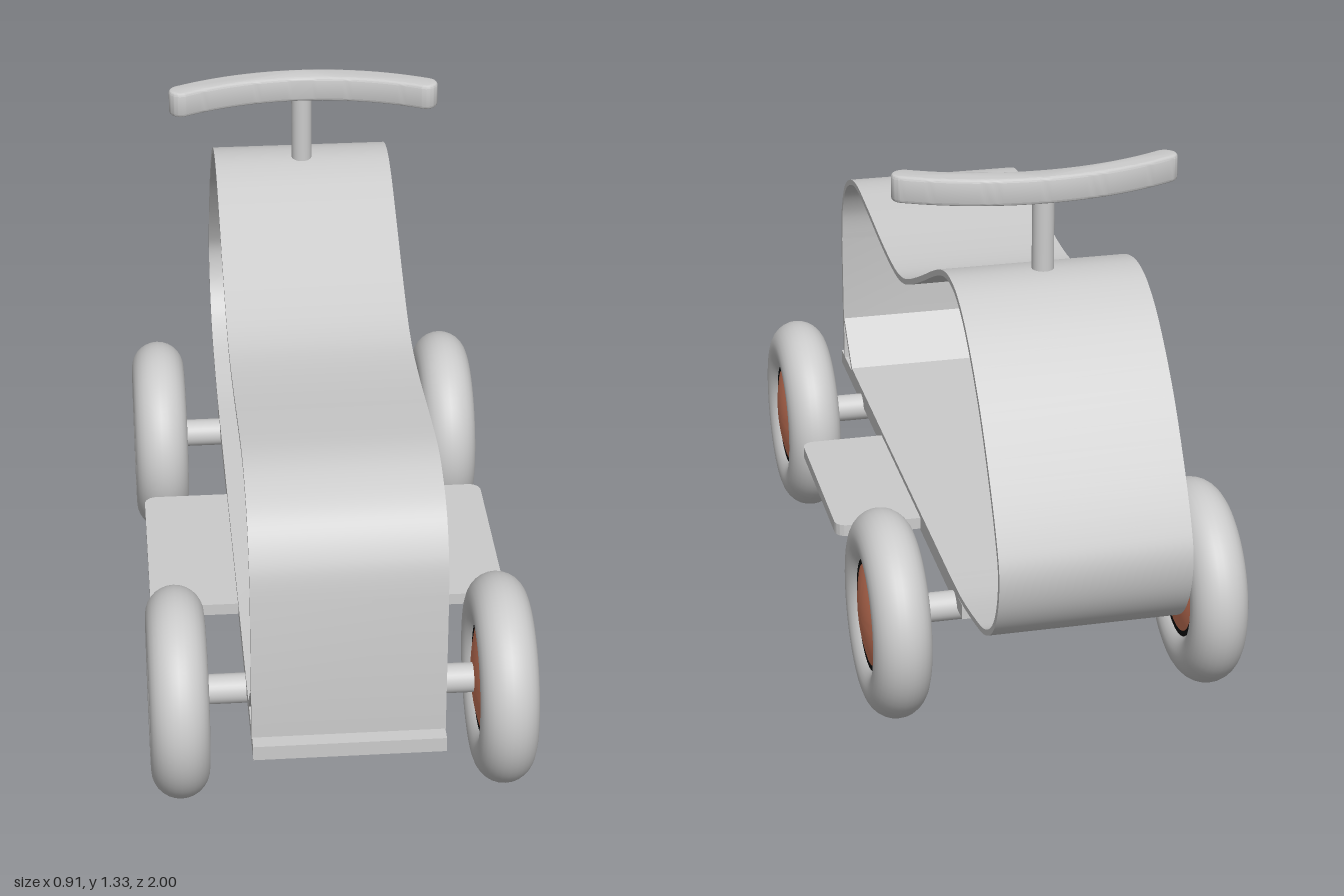
import * as THREE from 'three';
import { toCreasedNormals } from 'three/addons/utils/BufferGeometryUtils.js';

const material = (color) => new THREE.MeshStandardMaterial({ color });
const grey = material(0xcccccc);
const black = material(0x0c0c0c);
const orange = material(0xd07a5c);

function part(parent, name, geometry, mat = grey) {
  const mesh = new THREE.Mesh(geometry, mat);
  mesh.name = name;
  parent.add(mesh);
  return mesh;
}

// Thin bent-wood strip: side profile (z, y) thickened inwards, extruded along x
function bentStrip(width, thickness) {
  const curve = new THREE.SplineCurve([
    [0.963, 0.66], [0.945, 0.755], [0.89, 0.84], [0.8, 0.89], [0.7, 0.908],
    [0.55, 0.897], [0.35, 0.875], [0.2, 0.867], [0.1, 0.876], [0, 0.907],
    [-0.15, 0.973], [-0.3, 1.044], [-0.4, 1.084], [-0.49, 1.098], [-0.58, 1.08],
    [-0.68, 1.02], [-0.8, 0.905], [-0.9, 0.77], [-0.97, 0.65], [-0.996, 0.57],
    [-0.98, 0.48], [-0.93, 0.405], [-0.85, 0.355], [-0.75, 0.33], [-0.6, 0.308],
    [-0.45, 0.303],
  ].map(([z, y]) => new THREE.Vector2(z, y)));
  // straight front wall, curved body, flat floor, then a ramp back up to the wall
  const outer = [
    new THREE.Vector2(0.963, 0.3),
    ...curve.getPoints(160),
    new THREE.Vector2(0.84, 0.303),
    new THREE.Vector2(0.952, 0.415),
  ];
  const inner = outer.map((p, i) => {
    const a = outer[Math.max(i - 1, 0)];
    const b = outer[Math.min(i + 1, outer.length - 1)];
    const t = b.clone().sub(a).normalize();
    // sharp corner at the foot of the ramp: offset along the bisector
    if (i === outer.length - 2) t.set(Math.cos(Math.PI / 8), Math.sin(Math.PI / 8));
    if (i === outer.length - 3) t.set(1, 0);
    return new THREE.Vector2(p.x - t.y * thickness, p.y + t.x * thickness);
  });
  const shape = new THREE.Shape([...outer, ...inner.reverse()]);
  const geo = new THREE.ExtrudeGeometry(shape, { depth: width, bevelEnabled: false });
  geo.translate(0, 0, -width / 2).rotateY(-Math.PI / 2);
  return toCreasedNormals(geo, Math.PI / 6);
}

// Flat board with rounded corners, lying horizontally
function roundedBoard(w, d, h, r) {
  const x = w / 2, y = d / 2;
  const s = new THREE.Shape();
  s.absarc(x - r, y - r, r, 0, Math.PI / 2);
  s.absarc(-x + r, y - r, r, Math.PI / 2, Math.PI);
  s.absarc(-x + r, -y + r, r, Math.PI, Math.PI * 1.5);
  s.absarc(x - r, -y + r, r, Math.PI * 1.5, Math.PI * 2);
  const geo = new THREE.ExtrudeGeometry(s, { depth: h, bevelEnabled: false, curveSegments: 8 });
  geo.translate(0, 0, -h / 2).rotateX(-Math.PI / 2);
  return toCreasedNormals(geo, Math.PI / 6);
}

// Curved grip bar: an arc bowed towards the back with rounded ends
function handlebarGeometry() {
  const R = 0.68, half = 0.03, bevel = 0.008;
  const a = Math.asin(0.312 / R);
  const mid = Math.PI / 2, hw = half - bevel;
  const s = new THREE.Shape();
  s.absarc(0, 0, R + hw, mid - a, mid + a, false);
  s.absarc(-R * Math.sin(a), R * Math.cos(a), hw, mid + a, mid + a + Math.PI, false);
  s.absarc(0, 0, R - hw, mid + a, mid - a, true);
  s.absarc(R * Math.sin(a), R * Math.cos(a), hw, mid - a - Math.PI, mid - a, false);
  const geo = new THREE.ExtrudeGeometry(s, {
    depth: 0.065 - 2 * bevel, bevelSize: bevel, bevelThickness: bevel,
    bevelSegments: 3, curveSegments: 24,
  });
  geo.translate(0, -R, -(0.065 - 2 * bevel) / 2).rotateX(-Math.PI / 2);
  return toCreasedNormals(geo, Math.PI / 5);
}

// Tyre with a dark rim and a domed hub on both faces, axis along x
function wheel() {
  const g = new THREE.Group();
  part(g, 'tyre', new THREE.TorusGeometry(0.184, 0.07, 28, 64).rotateY(Math.PI / 2));
  part(g, 'rim', new THREE.CylinderGeometry(0.139, 0.139, 0.1, 48).rotateZ(Math.PI / 2), black);
  const profile = [new THREE.Vector2(0, -0.067)];
  for (let i = 1; i <= 8; i++) {
    const r = 0.122 * i / 8;
    profile.push(new THREE.Vector2(r, -0.067 + 0.017 * (i / 8) ** 2));
  }
  for (let i = 8; i >= 0; i--) profile.push(new THREE.Vector2(profile[i].x, -profile[i].y));
  const hub = new THREE.LatheGeometry(profile, 48).rotateZ(Math.PI / 2);
  part(g, 'hub', toCreasedNormals(hub, Math.PI / 5), orange);
  return g;
}

export function createModel() {
  const model = new THREE.Group();
  model.name = 'rideOnCar';

  // Body and boards
  part(model, 'bodyStrip', bentStrip(0.45, 0.014));
  part(model, 'basePlate', new THREE.BoxGeometry(0.448, 0.037, 1.6)).position.set(0, 0.2845, 0.2);
  part(model, 'footBoard', roundedBoard(0.88, 0.515, 0.03, 0.03)).position.set(0, 0.286, 0.147);

  // Steering
  part(model, 'steeringColumn', new THREE.CylinderGeometry(0.026, 0.026, 0.98, 32)).position.set(0, 0.79, -0.473);
  part(model, 'handlebar', handlebarGeometry()).position.set(0, 1.2975, -0.473);

  // Axles and wheels
  for (const [end, z] of [['front', 0.7], ['back', -0.508]]) {
    const axle = new THREE.CylinderGeometry(0.036, 0.036, 0.76, 32).rotateZ(Math.PI / 2);
    part(model, end + 'Axle', axle).position.set(0, 0.258, z);
    for (const [side, x] of [['Left', 0.387], ['Right', -0.387]]) {
      const w = wheel();
      w.name = end + side + 'Wheel';
      w.position.set(x, 0.256, z);
      model.add(w);
    }
  }
  return model;
}
